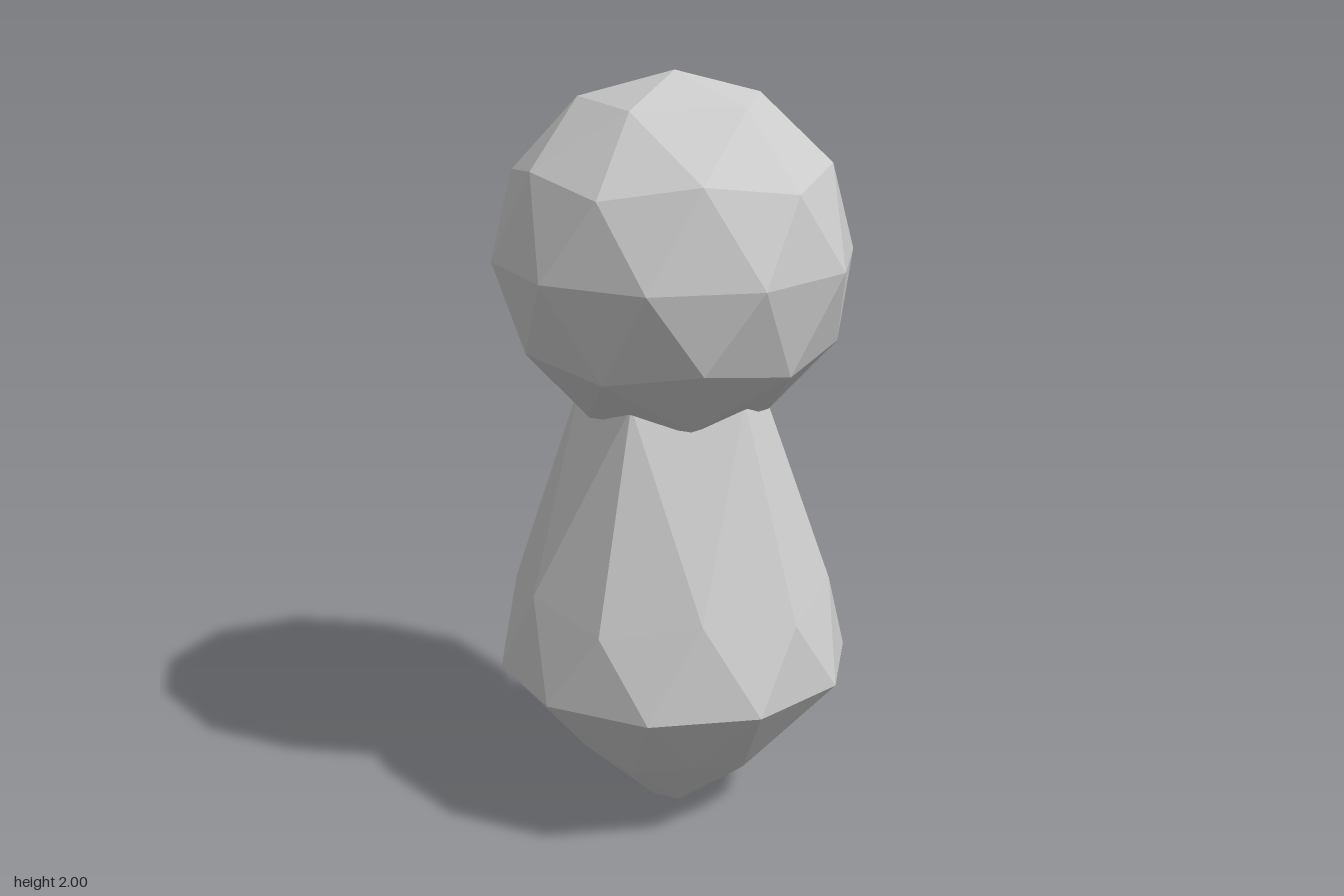
import * as THREE from 'three';

const R = 0.475;

// Once-subdivided icosahedron with a vertex on +y and its upper ring starting at +x
function icoSphere() {
  const geo = new THREE.IcosahedronGeometry(1, 1);
  geo.rotateX(-Math.atan((1 + Math.sqrt(5)) / 2));
  geo.rotateY(Math.PI / 2);
  return geo;
}

// Rows of the body: [height on the unit sphere, new radius, new height]
const bodyRows = [
  [1, 0, 1.25],
  [0.851, 0.25, 1.18],
  [0.526, 0.418, 0.655],
  [0.447, 0.437, 0.616],
  [0, R, 0.407],
  [-0.447, 0.27, 0.19],
  [-0.526, 0.258, 0.157],
  [-0.851, 0.065, 0],
  [-1, 0, 0],
];

// Pull each row of the sphere to its radius and height
function shapeRows(geo, rows) {
  const pos = geo.attributes.position;
  for (let i = 0; i < pos.count; i++) {
    const x = pos.getX(i), y = pos.getY(i), z = pos.getZ(i);
    const [, radius, height] = rows.reduce((a, b) =>
      Math.abs(b[0] - y) < Math.abs(a[0] - y) ? b : a);
    const len = Math.hypot(x, z);
    const k = len > 1e-4 ? radius / len : 0;
    pos.setXYZ(i, x * k, height, z * k);
  }
  return geo;
}

export function createModel() {
  const group = new THREE.Group();
  const material = new THREE.MeshStandardMaterial({ color: 0xcccccc, flatShading: true });
  const add = (name, geo) => {
    geo.computeVertexNormals();
    const mesh = new THREE.Mesh(geo, material);
    mesh.name = name;
    group.add(mesh);
  };

  // Round head
  add('head', icoSphere().scale(R, R, R).translate(0, 2 - R, 0));

  // Tapered body, drawn up into the head and in to a small flat base
  add('body', shapeRows(icoSphere(), bodyRows));

  return group;
}
